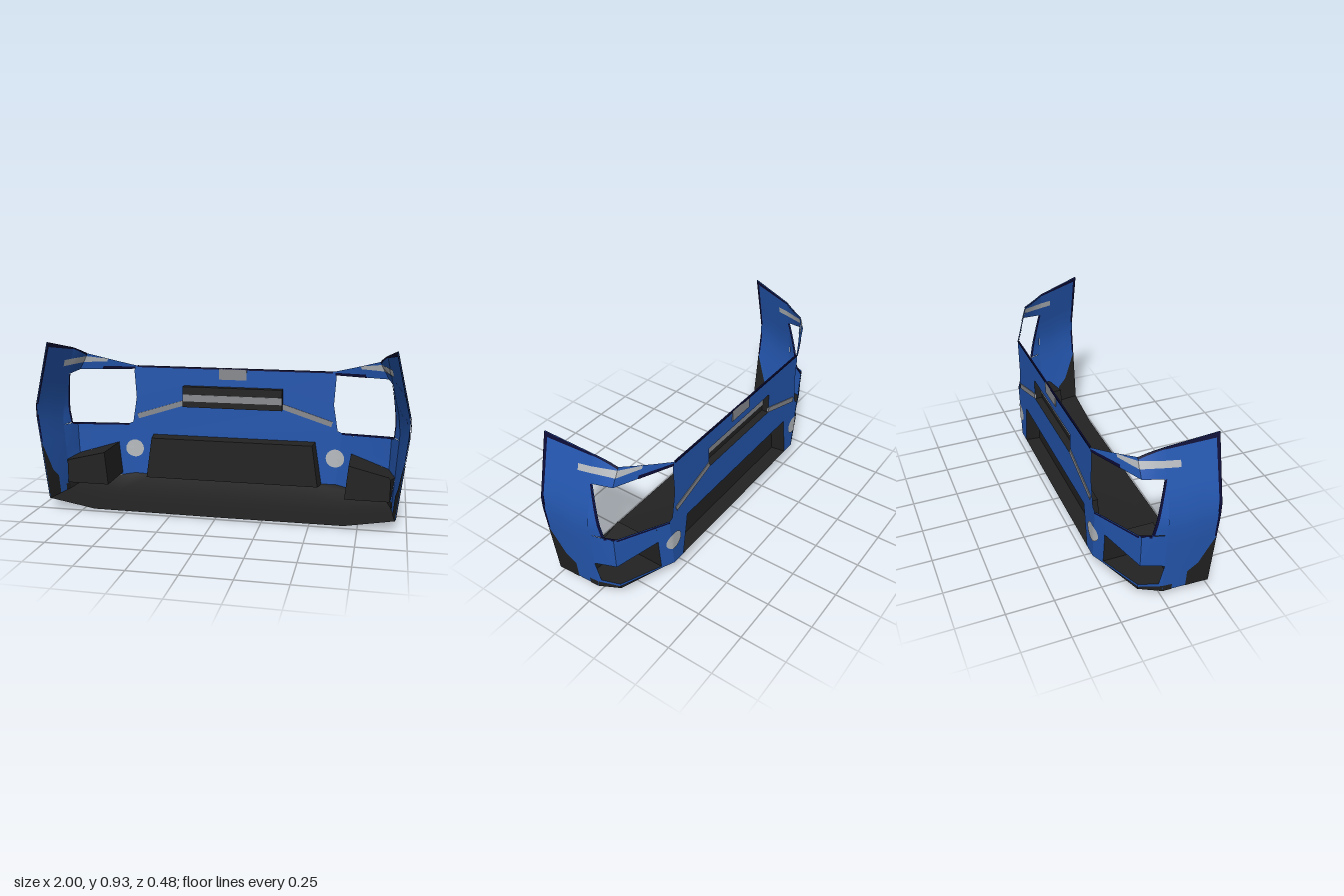
import * as THREE from 'three';

const mat = (name, color) => {
  const m = new THREE.MeshStandardMaterial({ color, side: THREE.DoubleSide });
  m.name = name;
  return m;
};

// Plan stations of the wraparound skin: depth z and half width x against height
const stations = [
  { z: -0.24, x: [[0, 0], [1, 0]] },
  { z: -0.24, x: [[0.08, 0.6], [0.39, 0.63], [0.72, 0.585], [0.74, 0.58]] },
  { z: -0.115, x: [[0.06, 0.88], [0.25, 0.9], [0.41, 0.905], [0.72, 0.88], [0.82, 0.83]] },
  { z: 0, x: [[0.04, 0.92], [0.5, 0.95], [0.87, 0.865]] },
  { z: 0.24, x: [[0.055, 0.94], [0.56, 1], [0.925, 0.915]] },
];
const lerp = THREE.MathUtils.lerp;

function widthAt(k, y) {
  const p = stations[k].x;
  let i = 0;
  while (i < p.length - 2 && y > p[i + 1][0]) i++;
  return lerp(p[i][1], p[i + 1][1], (y - p[i][0]) / (p[i + 1][0] - p[i][0]));
}

// Point on the skin at station s and height y
function skinPoint(s, y) {
  const k = Math.min(3, Math.floor(s)), t = s - k;
  return new THREE.Vector3(
    lerp(widthAt(k, y), widthAt(k + 1, y), t), y, lerp(stations[k].z, stations[k + 1].z, t));
}

function skinNormal(s, y) {
  const e = 0.02, a = skinPoint(s, y);
  const du = skinPoint(Math.min(4, s + e), y).sub(skinPoint(s - e, y));
  const dv = skinPoint(s, y + e).sub(a);
  return du.cross(dv).normalize();
}

// Grid surface from a rule f(u, v)
function surface(f, nu, nv) {
  const pos = [], idx = [];
  for (let j = 0; j <= nv; j++)
    for (let i = 0; i <= nu; i++) pos.push(...f(i / nu, j / nv).toArray());
  for (let j = 0; j < nv; j++)
    for (let i = 0; i < nu; i++) {
      const a = j * (nu + 1) + i, b = a + nu + 1;
      idx.push(a, a + 1, b, b, a + 1, b + 1);
    }
  const g = new THREE.BufferGeometry();
  g.setAttribute('position', new THREE.Float32BufferAttribute(pos, 3));
  g.setIndex(idx);
  g.computeVertexNormals();
  return g;
}

// Skin patch from four (station, height) corners, counted around
function patch(c, off = 0) {
  return surface((u, v) => {
    const s = lerp(lerp(c[0][0], c[1][0], u), lerp(c[3][0], c[2][0], u), v);
    const y = lerp(lerp(c[0][1], c[1][1], u), lerp(c[3][1], c[2][1], u), v);
    return skinPoint(s, y).addScaledVector(skinNormal(s, y), off);
  }, 3, 8);
}

// Tray: walls from a rim to a back outline, plus the back itself
function tray(rim, back) {
  const n = rim.length, pos = [], idx = [];
  for (let i = 0; i < n; i++) {
    const j = (i + 1) % n, b = pos.length / 3;
    for (const p of [rim[i], rim[j], back[j], back[i]]) pos.push(...p);
    idx.push(b, b + 1, b + 2, b, b + 2, b + 3);
  }
  const b = pos.length / 3;
  back.forEach((p) => pos.push(...p));
  for (let i = 1; i < n - 1; i++) idx.push(b, b + i, b + i + 1);
  const g = new THREE.BufferGeometry();
  g.setAttribute('position', new THREE.Float32BufferAttribute(pos, 3));
  g.setIndex(idx);
  g.computeVertexNormals();
  return g;
}

export function createModel() {
  const root = new THREE.Group();
  root.name = 'bumper';
  const blue = mat('blue paint', 0x2457b0);
  const black = mat('black plastic', 0x222222);
  const navy = mat('dark navy edge', 0x0b0b36);
  const silver = mat('light silver', 0xb8bcc0);
  const grey = mat('grey trim', 0x888b90);
  const add = (name, geo, m, parent = root) => {
    const mesh = new THREE.Mesh(geo, m);
    mesh.name = name;
    parent.add(mesh);
    return mesh;
  };

  // Flat centre panel with both grille openings
  const half = [[0.58, 0.74], [0.59, 0.71], [0.58, 0.55], [0.605, 0.4], [0.63, 0.39], [0.6, 0.08], [0.52, 0.08], [0.48, 0.33]];
  const outline = [...half, ...half.map(([x, y]) => [-x, y]).reverse()];
  const face = new THREE.Shape(outline.map((p) => new THREE.Vector2(...p)));
  face.holes.push(new THREE.Path([[-0.29, 0.51], [-0.29, 0.63], [0.29, 0.63], [0.29, 0.51]].map((p) => new THREE.Vector2(...p))));
  add('centrePanel', new THREE.ShapeGeometry(face).translate(0, 0, -0.24), blue);
  add('topLip', new THREE.BoxGeometry(1.14, 0.01, 0.008).translate(0, 0.735, -0.24), navy);

  // Grille trays, recessed toward the inside
  const rect = (w0, w1, y0, y1, z) => [[-w0, y0, z], [w0, y0, z], [w1, y1, z], [-w1, y1, z]];
  add('upperGrille', tray(rect(0.29, 0.29, 0.51, 0.63, -0.24), rect(0.29, 0.29, 0.51, 0.63, -0.2)), black);
  add('upperGrilleBar', new THREE.BoxGeometry(0.58, 0.04, 0.008).translate(0, 0.565, -0.2), grey);
  add('lowerGrille', tray(rect(0.52, 0.48, 0.08, 0.33, -0.24), rect(0.505, 0.47, 0.085, 0.325, -0.16)), black);
  add('badgePlate', new THREE.BoxGeometry(0.16, 0.065, 0.008).translate(0, 0.705, -0.24), grey);

  // Underside: sections of outer edge, chine and centre
  const floor = [
    [0.24, 0.94, 0.055, 0.68, 0.01, 0.008],
    [0, 0.92, 0.04, 0.68, 0.004, 0],
    [-0.115, 0.88, 0.06, 0.66, 0.012, 0.01],
    [-0.24, 0.6, 0.085, 0.45, 0.08, 0.078],
  ];
  add('underside', surface((u, v) => {
    const [z, xo, yo, xc, yc, ym] = floor[Math.round(v * 3)];
    const row = [[-xo, yo], [-xc, yc], [0, ym], [xc, yc], [xo, yo]];
    return new THREE.Vector3(...row[Math.round(u * 4)], z);
  }, 4, 3), black);

  // Wraparound sides: panels left around the lamp and vent openings
  const panels = [
    [[1, 0.08], [1.24, 0.08], [1.24, 0.395], [1, 0.39]],
    [[1.24, 0.28], [2, 0.228], [2, 0.412], [1.24, 0.395]],
    [[1.24, 0.08], [2, 0.075], [2, 0.092], [1.24, 0.092]],
    [[1, 0.72], [2, 0.727], [2, 0.82], [1, 0.74]],
    [[2, 0.727], [3, 0.715], [3, 0.868], [2, 0.82]],
    [[2.39, 0.42], [3, 0.42], [3, 0.715], [2.91, 0.715]],
    [[2, 0.228], [3, 0.215], [3, 0.42], [2, 0.412]],
    [[2.83, 0.092], [3, 0.092], [3, 0.215], [3, 0.215]],
    [[2, 0.075], [3, 0.075], [3, 0.092], [2, 0.092]],
    [[3, 0.04], [4, 0.055], [4, 0.925], [3, 0.868]],
  ];
  // Painted areas on both faces of the skin
  const paint = [
    ['blackCorner', black, [[3.5, 0.048], [3.71, 0.052], [3.71, 0.2], [3.5, 0.15]]],
    ['blackCorner', black, [[3.71, 0.052], [4, 0.055], [4, 0.37], [3.71, 0.2]]],
    ['sillBand', black, [[3, 0.042], [3.2, 0.045], [3.2, 0.08], [3, 0.08]]],
    ['rearEdge', navy, [[3.96, 0.37], [4, 0.37], [4, 0.925], [3.93, 0.92]]],
    ['topEdge', navy, [[3, 0.858], [4, 0.9], [4, 0.925], [3, 0.868]]],
    ['topEdge', navy, [[2, 0.81], [3, 0.86], [3, 0.868], [2, 0.82]]],
    ['lampRearEdge', navy, [[2.39, 0.42], [2.5, 0.42], [3, 0.715], [2.91, 0.715]]],
    ['lampLowerEdge', navy, [[1, 0.38], [2.4, 0.408], [2.4, 0.42], [1, 0.39]]],
    ['lampUpperEdge', navy, [[1, 0.72], [1.6, 0.724], [1.6, 0.742], [1, 0.734]]],
    ['silverStripe', silver, [[1.56, 0.77], [2, 0.77], [2, 0.805], [1.56, 0.785]]],
    ['silverStripe', silver, [[2, 0.77], [3, 0.77], [3, 0.805], [2, 0.805]]],
    ['silverStripe', silver, [[3, 0.77], [3.27, 0.77], [3.27, 0.805], [3, 0.805]]],
  ];
  for (const side of [1, -1]) {
    const flip = (g) => {
      if (side < 0) {
        g.scale(-1, 1, 1);
        // Keep the winding in step with the mirrored points
        const a = g.index.array;
        for (let i = 0; i < a.length; i += 3) [a[i], a[i + 1]] = [a[i + 1], a[i]];
        g.computeVertexNormals();
      }
      return g;
    };
    const wing = new THREE.Group();
    wing.name = side > 0 ? 'leftWing' : 'rightWing';
    root.add(wing);
    panels.forEach((c) => add('wingPanel', flip(patch(c)), blue, wing));
    add('sill', flip(patch([[2, 0.06], [3, 0.04], [3, 0.075], [2, 0.075]])), black, wing);
    for (const [name, m, c] of paint)
      for (const off of [0.003, -0.003]) add(name, flip(patch(c, off)), m, wing);

    // Side vent pocket reaching back inside
    const rim = [[1.24, 0.092], [2, 0.092], [2.83, 0.092], [3, 0.215], [2, 0.228], [1.24, 0.28]].map(([s, y]) => skinPoint(s, y).toArray());
    const back = rim.map(([x, y]) => [Math.min(x, 0.91), y, 0.05]);
    add('sideVent', flip(tray(rim, back)), black, wing);

    // Round lamp following the skin
    for (const off of [0.004, -0.004])
      add('roundLamp', flip(surface((u, v) => {
        const x = 0.595 + 0.053 * v * Math.cos(u * Math.PI * 2), y = 0.24 + 0.053 * v * Math.sin(u * Math.PI * 2);
        const w = widthAt(1, y);
        const s = x < w ? x / w : 1 + (x - w) / (widthAt(2, y) - w);
        return skinPoint(s, y).add(new THREE.Vector3(0, 0, off));
      }, 20, 4)), silver, wing);

    // Slanted trim beside the upper grille
    const trim = add('slantedTrim', new THREE.BoxGeometry(0.3, 0.03, 0.008), grey, wing);
    trim.position.set(side * 0.43, 0.483, -0.24);
    trim.rotation.z = -side * 0.31;
  }
  return root;
}
